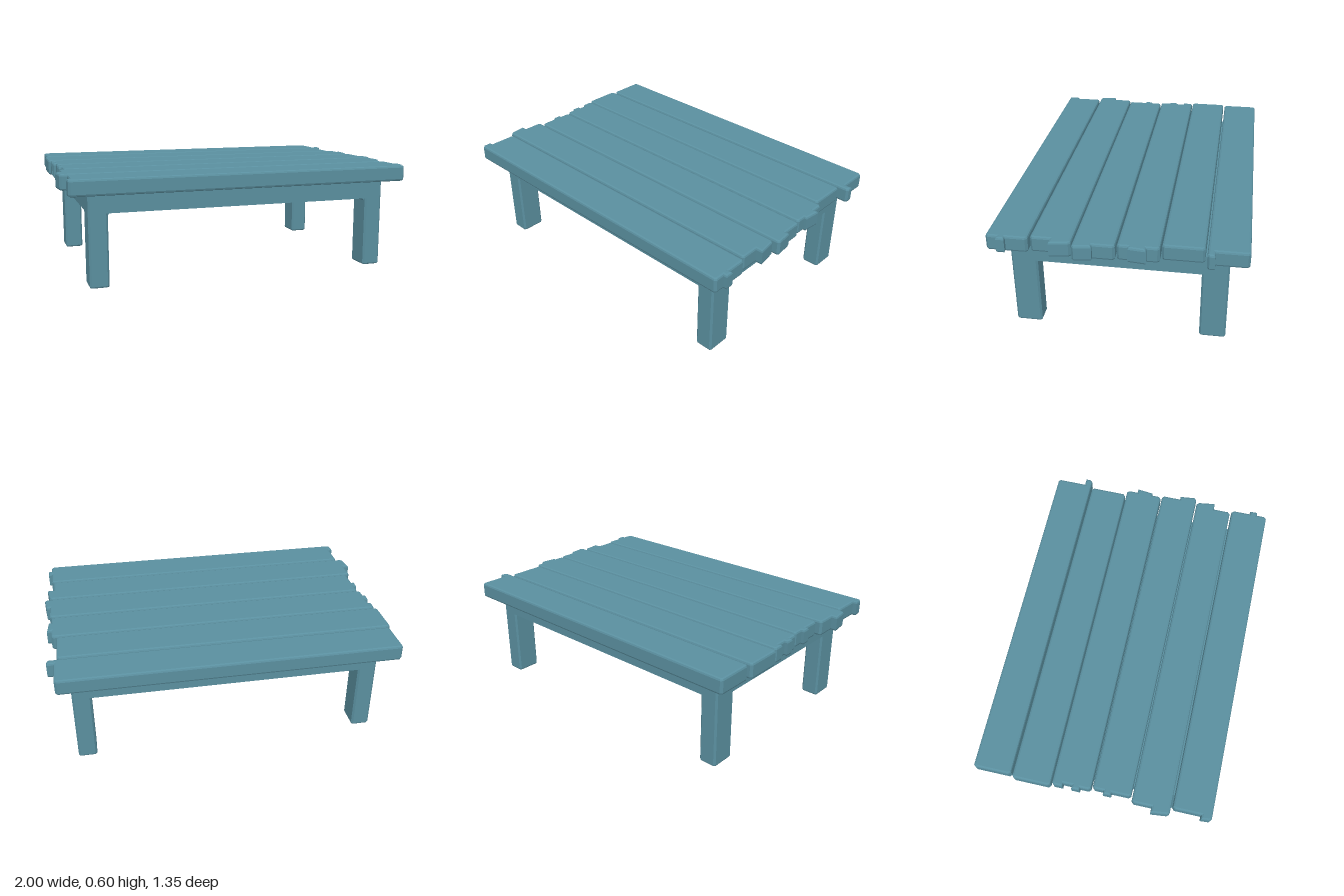
import * as THREE from 'three';

const wood = new THREE.MeshStandardMaterial({ color: 0x5a8f9f });

// Extrudes a plan outline of [x, z] points upward from y0 to y1, with edges bevelled inward
function slab(points, y0, y1, bevel) {
  const shape = new THREE.Shape(points.map(([x, z]) => new THREE.Vector2(x, -z)));
  const geo = new THREE.ExtrudeGeometry(shape, {
    depth: y1 - y0 - 2 * bevel, bevelEnabled: bevel > 0, bevelThickness: bevel,
    bevelSize: bevel, bevelOffset: -bevel, bevelSegments: 2,
  });
  geo.rotateX(-Math.PI / 2);
  geo.translate(0, y0 + bevel, 0);
  return geo;
}

// Rectangle with cut corners
function rect(x0, x1, z0, z1, c) {
  return [[x0 + c, z0], [x1 - c, z0], [x1, z0 + c], [x1, z1 - c],
    [x1 - c, z1], [x0 + c, z1], [x0, z1 - c], [x0, z0 + c]];
}

// Plank outline: each end is a list of [x, z] running from back to front
function plankOutline(left, right) {
  const c = 0.012;
  const trim = (end, s) => {
    const p = end.map((q) => [...q]);
    const [xa, za] = p[0], [xb, zb] = p[p.length - 1];
    p[0][1] += c;
    p[p.length - 1][1] -= c;
    return [[xa - s * c, za], ...p, [xb - s * c, zb]];
  };
  return [...trim(right, 1), ...trim(left, -1).reverse()];
}

// Broken ends of the six planks, back to front
const planks = [
  { left: [[-0.965, -0.675], [-0.965, -0.462]],
    right: [[0.94, -0.675], [0.94, -0.503], [0.98, -0.503], [0.98, -0.462]] },
  { left: [[-0.978, -0.451], [-0.978, -0.233]],
    right: [[0.925, -0.451], [0.925, -0.233]] },
  { left: [[-0.967, -0.226], [-0.967, -0.165], [-0.948, -0.165], [-0.948, -0.115],
    [-0.967, -0.115], [-0.967, -0.068], [-0.952, -0.068], [-0.952, -0.008]],
    right: [[0.955, -0.226], [0.955, -0.16], [0.98, -0.16], [0.97, -0.065], [0.955, -0.065], [0.955, -0.008]] },
  { left: [[-0.94, 0], [-0.94, 0.062], [-0.957, 0.062], [-0.957, 0.108], [-0.94, 0.108], [-0.94, 0.217]],
    right: [[0.965, 0], [0.965, 0.115], [0.985, 0.115], [0.995, 0.217]] },
  { left: [[-0.967, 0.225], [-0.967, 0.338], [-1, 0.338], [-0.99, 0.442]],
    right: [[0.966, 0.225], [0.98, 0.338], [0.94, 0.338], [0.94, 0.442]] },
  { left: [[-0.952, 0.452], [-0.952, 0.612], [-0.975, 0.612], [-0.972, 0.672]],
    right: [[0.955, 0.452], [0.955, 0.567], [0.975, 0.567], [0.975, 0.612], [0.955, 0.612], [0.955, 0.672]] },
];

export function createModel() {
  const model = new THREE.Group();
  model.name = 'table';
  const add = (geo, name) => {
    const mesh = new THREE.Mesh(geo, wood);
    mesh.name = name;
    model.add(mesh);
  };

  // Tabletop planks
  planks.forEach((p, i) => add(slab(plankOutline(p.left, p.right), 0.51, 0.6, 0.012), `plank${i + 1}`));

  // Solid frame under the planks
  add(slab(rect(-0.865, 0.865, -0.577, 0.577, 0.01), 0.402, 0.514, 0), 'frame');

  // Legs, with a small flare at the inner corners under the frame
  for (const sx of [-1, 1]) for (const sz of [-1, 1]) {
    const name = (sz > 0 ? 'front' : 'back') + (sx > 0 ? 'Left' : 'Right');
    const xs = [sx * 0.76, sx * 0.865].sort((a, b) => a - b);
    const zs = [sz * 0.435, sz * 0.577].sort((a, b) => a - b);
    add(slab(rect(...xs, ...zs, 0.01), 0, 0.46, 0.01), name + 'Leg');

    const flare = new THREE.BoxGeometry(0.1, 0.016, 0.14);
    flare.translate(sx * 0.796, 0.395, sz * 0.491);
    const pos = flare.attributes.position;
    for (let i = 0; i < pos.count; i++) {
      if (pos.getY(i) > 0.395) continue;
      if (Math.abs(pos.getX(i)) < 0.796) pos.setX(i, sx * 0.761);
      if (Math.abs(pos.getZ(i)) < 0.491) pos.setZ(i, sz * 0.436);
    }
    flare.computeVertexNormals();
    add(flare, name + 'LegFlare');
  }
  return model;
}
